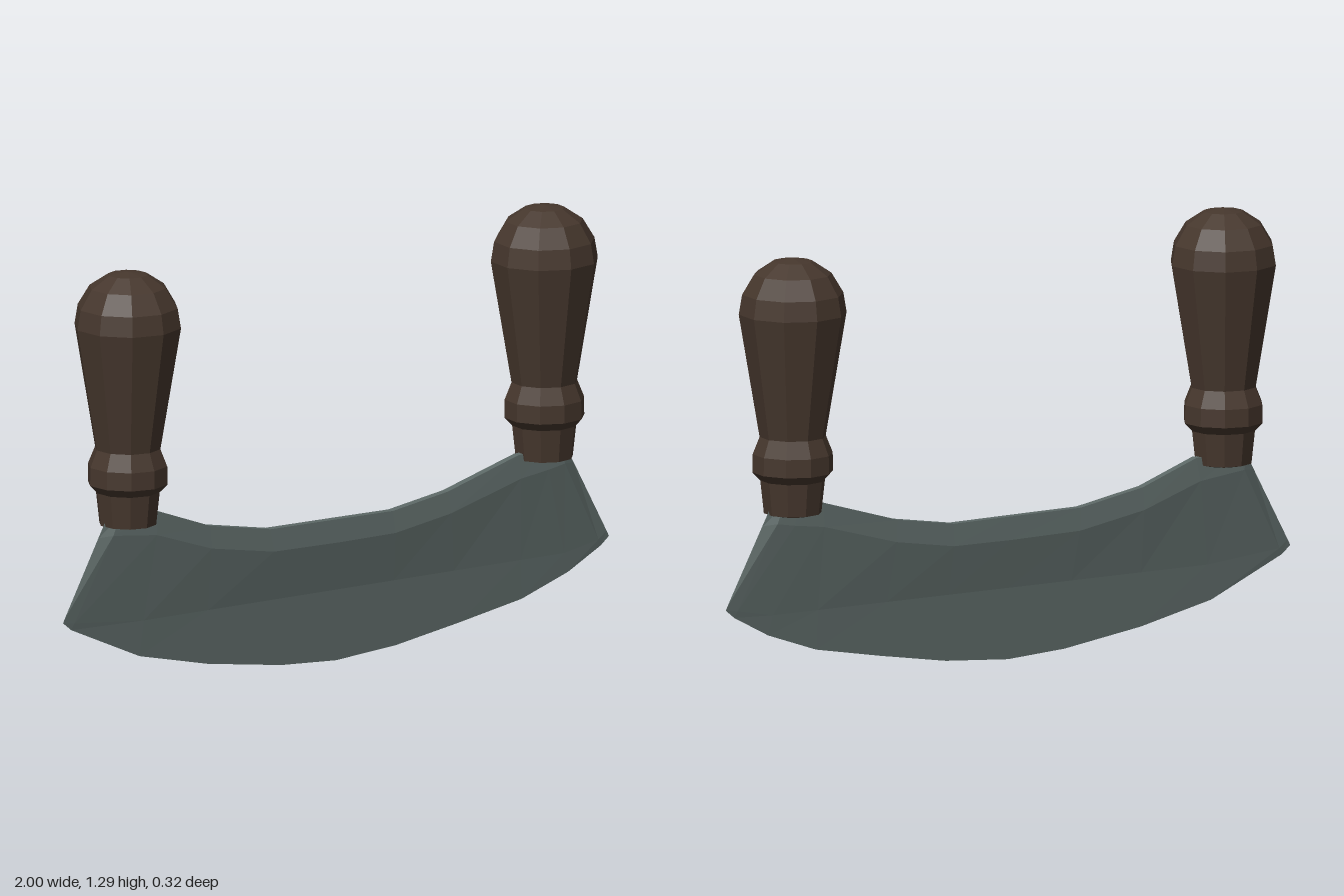
import * as THREE from 'three';

const wood = new THREE.MeshStandardMaterial({ color: 0x46372d, flatShading: true });
wood.name = 'dark wood';
const steel = new THREE.MeshStandardMaterial({ color: 0x5c6866, flatShading: true });
steel.name = 'grey steel';

// Turned handle: notched foot, collar, flared grip and domed top
function makeHandle(name, x, turn) {
  const profile = [
    [0, 0.56], [0.05, 0.517], [0.087, 0.525], [0.098, 0.625], [0.122, 0.65],
    [0.121, 0.705], [0.1, 0.757], [0.163, 1.13], [0.153, 1.19],
    [0.117, 1.25], [0.06, 1.288], [0, 1.297],
  ].map(([r, y]) => new THREE.Vector2(r, y));
  const handle = new THREE.Mesh(new THREE.LatheGeometry(profile, 10), wood);
  handle.name = name;
  handle.position.x = x;
  handle.rotation.y = turn;
  return handle;
}

// Curved blade: cross-sections joined from end to end
function makeBlade() {
  // Each station: top x, top y, bottom x, bottom y, half thickness
  const stations = [
    [-0.845, 0.54, -1, 0.25, 0.001],
    [-0.8, 0.55, -0.97, 0.225, 0.017],
    [-0.66, 0.55, -0.72, 0.112, 0.02],
    [-0.47, 0.48, -0.47, 0.055, 0.021],
    [-0.25, 0.44, -0.2, 0.015, 0.021],
    [0, 0.438, 0, 0.003, 0.021],
    [0.2, 0.436, 0.22, 0.02, 0.021],
    [0.4, 0.468, 0.45, 0.058, 0.021],
    [0.66, 0.545, 0.68, 0.1, 0.02],
    [0.75, 0.55, 0.85, 0.16, 0.019],
    [0.8, 0.55, 0.97, 0.225, 0.017],
    [0.845, 0.54, 1, 0.25, 0.001],
  ];
  const positions = [];
  const index = [];
  const n = 7;
  for (const [tx, ty, bx, by, w] of stations) {
    const low = Math.max(0.06, (0.22 - by) / (ty - by));
    const section = [
      [0, 0], [low, Math.min(w, 0.002)], [0.84, w], [1, w * 0.6],
      [1, -w * 0.6], [0.84, -w], [low, -Math.min(w, 0.002)],
    ];
    for (const [f, z] of section) {
      positions.push(bx + (tx - bx) * f, by + (ty - by) * f, z);
    }
  }
  for (let i = 0; i < stations.length - 1; i++) {
    for (let j = 0; j < n; j++) {
      const a = i * n + j;
      const b = i * n + (j + 1) % n;
      index.push(a, a + n, b + n, a, b + n, b);
    }
  }
  // Close both thin ends
  const last = (stations.length - 1) * n;
  for (let j = 1; j < n - 1; j++) {
    index.push(0, j, j + 1, last, last + j + 1, last + j);
  }
  const geometry = new THREE.BufferGeometry();
  geometry.setAttribute('position', new THREE.Float32BufferAttribute(positions, 3));
  geometry.setIndex(index);
  geometry.computeVertexNormals();
  const blade = new THREE.Mesh(geometry, steel);
  blade.name = 'blade';
  return blade;
}

export function createModel() {
  const model = new THREE.Group();
  model.name = 'rocking knife';
  model.add(
    makeBlade(),
    makeHandle('rightHandle', -0.763, 0.1),
    makeHandle('leftHandle', 0.763, -0.1),
  );
  return model;
}
